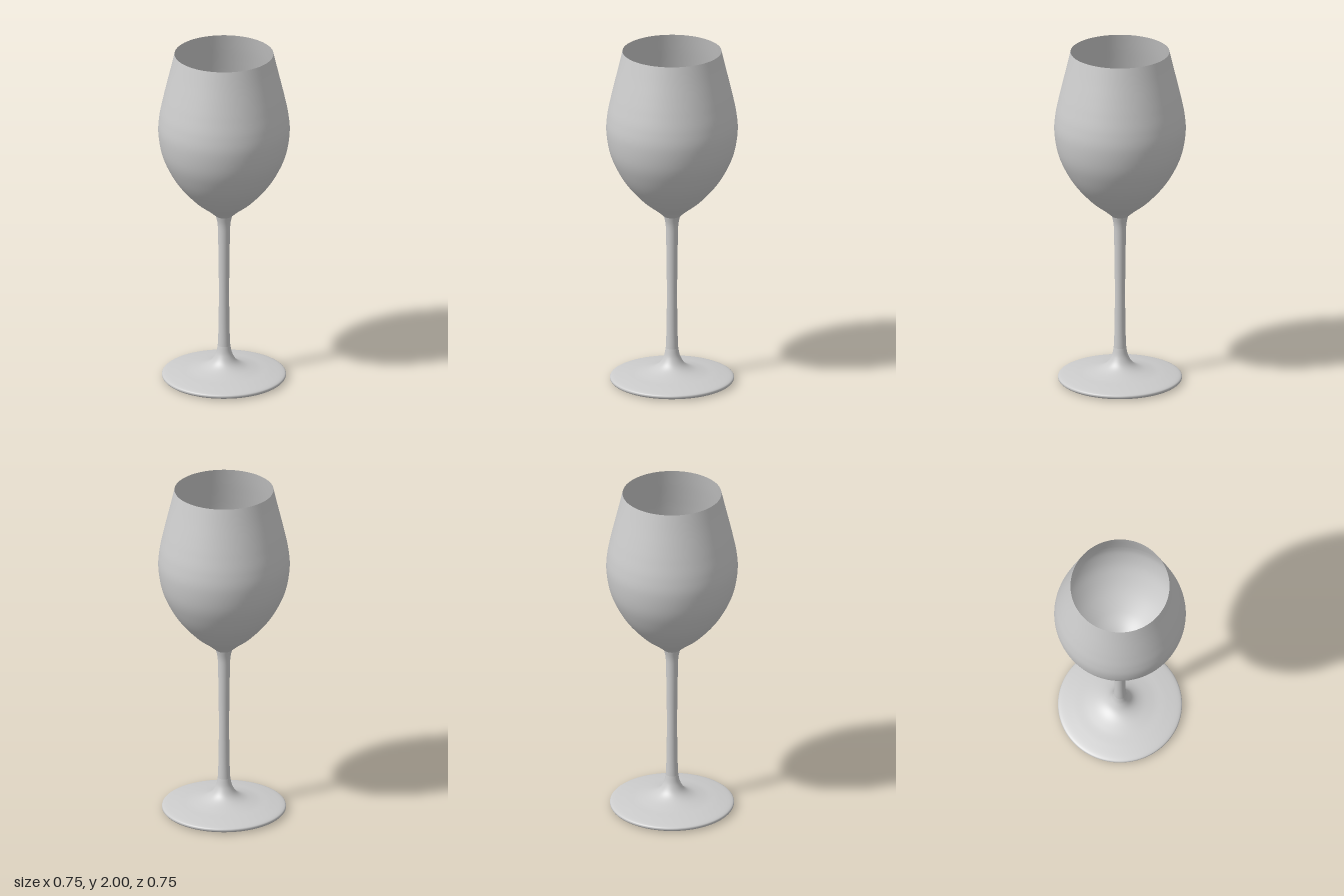
import * as THREE from 'three';

const SEGMENTS = 96;
const material = new THREE.MeshStandardMaterial({ color: 0xcccccc, side: THREE.DoubleSide });

// Smooth surface of revolution through [radius, height] points, bottom to top
function turned(name, points, divisions) {
  const curve = new THREE.SplineCurve(points.map(([r, y]) => new THREE.Vector2(r, y)));
  const mesh = new THREE.Mesh(new THREE.LatheGeometry(curve.getPoints(divisions), SEGMENTS), material);
  mesh.name = name;
  return mesh;
}

// Flat round cap, facing up or down
function disc(name, radius, y, up) {
  const geometry = new THREE.CircleGeometry(radius, SEGMENTS);
  geometry.rotateX(up ? -Math.PI / 2 : Math.PI / 2);
  const mesh = new THREE.Mesh(geometry, material);
  mesh.name = name;
  mesh.position.y = y;
  return mesh;
}

export function createModel() {
  const glass = new THREE.Group();
  glass.name = 'wineGlass';

  // Foot: rounded rim rising gently, then sweeping into the stem
  glass.add(turned('foot', [
    [0.31, 0], [0.345, 0.006], [0.356, 0.02], [0.342, 0.033], [0.27, 0.046],
    [0.19, 0.057], [0.12, 0.075], [0.074, 0.104], [0.047, 0.15], [0.036, 0.2],
  ], 60));
  glass.add(disc('footBase', 0.31, 0, false));

  // Stem: slightly waisted, flaring where it meets the bowl
  glass.add(turned('stem', [
    [0.036, 0.2], [0.032, 0.3], [0.03, 0.45], [0.03, 0.6], [0.032, 0.75],
    [0.034, 0.88], [0.037, 0.95], [0.047, 1.0],
  ], 50));

  // Bowl: thin open wall, widest below the middle and narrowing to the rim
  glass.add(turned('bowl', [
    [0.047, 1.0], [0.09, 1.037], [0.169, 1.1], [0.259, 1.2], [0.32, 1.3],
    [0.359, 1.4], [0.377, 1.52], [0.37, 1.62], [0.35, 1.72], [0.329, 1.81],
    [0.306, 1.905], [0.284, 2.0],
  ], 90));
  glass.add(disc('bowlFloor', 0.047, 1.0, true));

  return glass;
}
